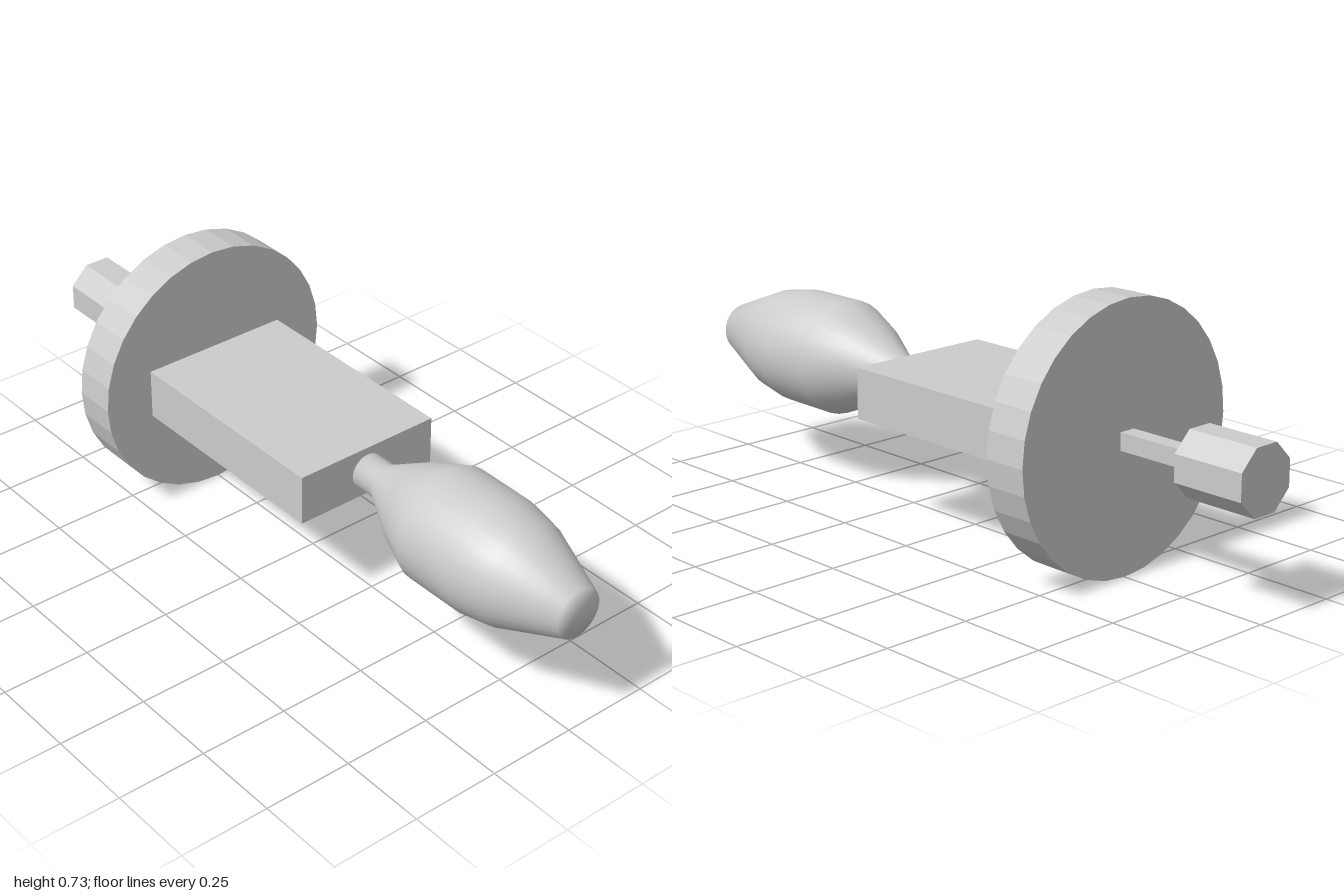
import * as THREE from 'three';

const AXIS_Y = 0.365;

export function createModel() {
  const model = new THREE.Group();
  const flat = new THREE.MeshStandardMaterial({ color: 0xcccccc, flatShading: true });
  const smooth = new THREE.MeshStandardMaterial({ color: 0xcccccc });

  const add = (name, geometry, material, z = 0) => {
    const mesh = new THREE.Mesh(geometry, material);
    mesh.name = name;
    mesh.position.set(0, AXIS_Y, z);
    model.add(mesh);
  };
  // Prism along z between two depths
  const prism = (name, radius, sides, z0, z1, turn = 0) => {
    const geometry = new THREE.CylinderGeometry(radius, radius, z1 - z0, sides);
    geometry.rotateY(turn).rotateX(Math.PI / 2);
    add(name, geometry, flat, (z0 + z1) / 2);
  };
  const block = (name, width, height, z0, z1) =>
    add(name, new THREE.BoxGeometry(width, height, z1 - z0), flat, (z0 + z1) / 2);

  // Turned handle: neck, swelling grip, narrow closed tip (radius, z)
  const profile = [
    [0, 0.21], [0.05, 0.21], [0.05, 0.295], [0.122, 0.425], [0.164, 0.53],
    [0.163, 0.71], [0.146, 0.805], [0.07, 1], [0, 1],
  ].map(([r, z]) => new THREE.Vector2(r, z));
  add('handle', new THREE.LatheGeometry(profile, 32).rotateX(Math.PI / 2), smooth);

  // Flat body, round plate, thin shaft and octagonal end knob
  block('body', 0.438, 0.142, -0.43, 0.225);
  prism('plate', 0.364, 32, -0.553, -0.428);
  block('shaft', 0.048, 0.048, -0.79, -0.553);
  prism('endKnob', 0.095, 8, -1, -0.79, Math.PI / 8);

  return model;
}
